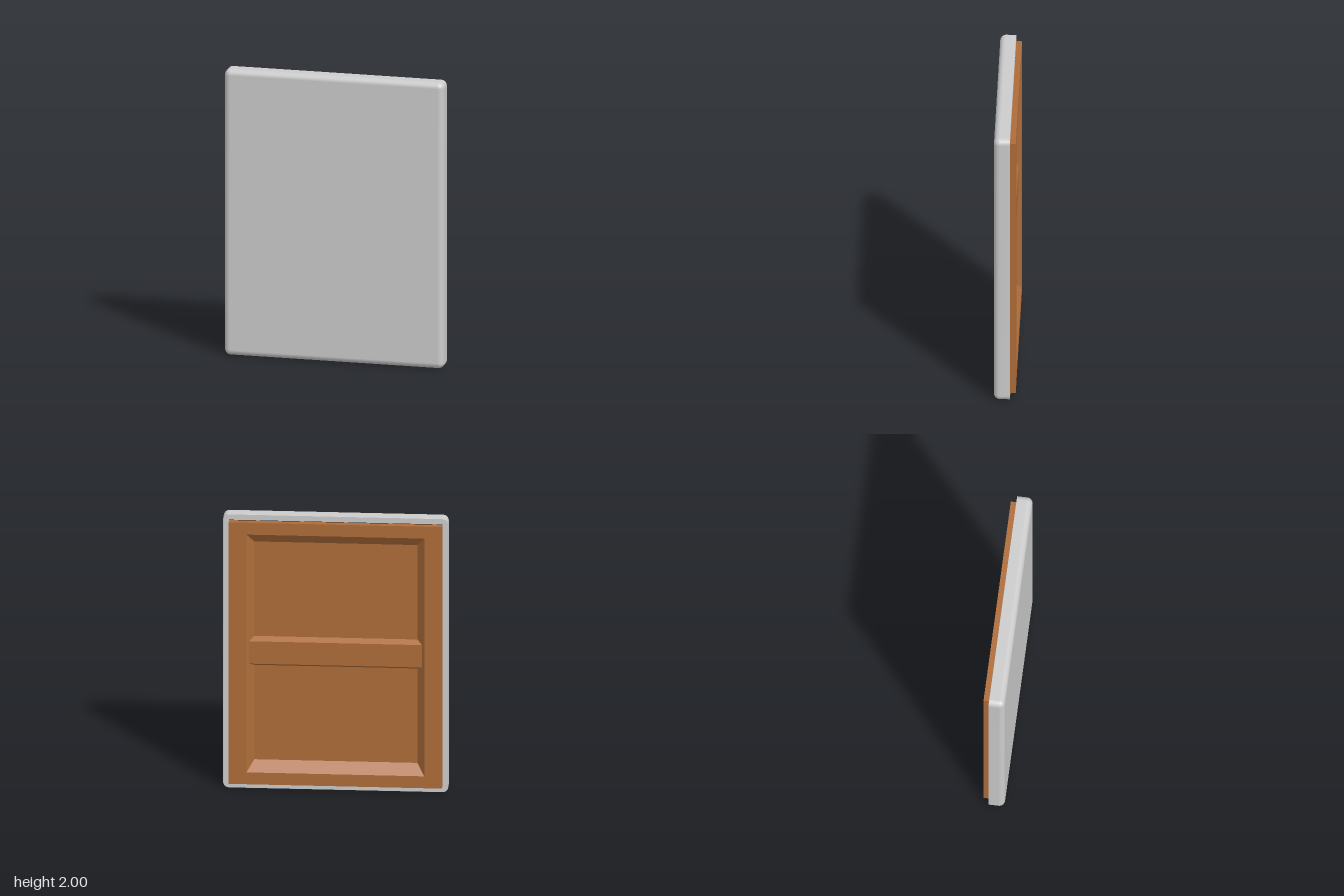
import * as THREE from 'three';
import { mergeVertices } from 'three/addons/utils/BufferGeometryUtils.js';
import { RoundedBoxGeometry } from 'three/addons/geometries/RoundedBoxGeometry.js';

const W = 1.52, H = 2, R = 0.04;
const FRONT = 0.073;            // front of the padded panel
const BACK = -0.035;            // flat rear of the padded panel
const FRAME_BACK = -0.074;      // rear of the wooden frame
const FLOOR = -0.016;           // bottom of the recess

const grey = new THREE.MeshStandardMaterial({ color: 0xcccccc });
const wood = new THREE.MeshStandardMaterial({ color: 0xae6c39 });

// Rounded box whose rear rounding is pressed flat into a rim; open where the frame sits
function cushionGeometry() {
  const p = new RoundedBoxGeometry(W, H, FRONT * 2, 6, R).attributes.position;
  const pos = [];
  for (let i = 0; i < p.count; i += 3) {
    const nearest = Math.max(p.getZ(i), p.getZ(i + 1), p.getZ(i + 2));
    if (nearest < -FRONT + 1e-4) continue;
    for (let k = i; k < i + 3; k++) {
      pos.push(p.getX(k), p.getY(k), Math.max(p.getZ(k), BACK));
    }
  }
  const geo = new THREE.BufferGeometry();
  geo.setAttribute('position', new THREE.Float32BufferAttribute(pos, 3));
  const smooth = mergeVertices(geo);
  smooth.computeVertexNormals();
  return smooth;
}

// Flat-sided loft through rectangles [width, height, z], closed at the last one (facing -z)
function loft(sections) {
  const loops = sections.map(([w, h, z]) =>
    [[-1, -1], [1, -1], [1, 1], [-1, 1]].map(([x, y]) => [x * w / 2, y * h / 2, z]));
  const pos = [];
  const tri = (...corners) => corners.forEach((c) => pos.push(...c));
  for (let s = 0; s < loops.length - 1; s++) {
    const a = loops[s], b = loops[s + 1];
    for (let i = 0; i < 4; i++) {
      const j = (i + 1) % 4;
      tri(a[i], b[j], a[j]);
      tri(a[i], b[i], b[j]);
    }
  }
  const end = loops[loops.length - 1];
  tri(end[0], end[2], end[1]);
  tri(end[0], end[3], end[2]);
  const geo = new THREE.BufferGeometry();
  geo.setAttribute('position', new THREE.Float32BufferAttribute(pos, 3));
  geo.computeVertexNormals();
  return geo;
}

export function createModel() {
  const group = new THREE.Group();
  group.name = 'paddedPanel';
  const add = (name, geo, mat) => {
    const mesh = new THREE.Mesh(geo, mat);
    mesh.name = name;
    mesh.position.y = H / 2;
    group.add(mesh);
  };

  // Soft front panel with the flat margin around its back
  add('cushion', cushionGeometry(), grey);

  // Wooden frame: outer edge, back face, sloping recess walls and recess floor
  add('frame', loft([
    [1.44, 1.914, BACK],
    [1.44, 1.914, FRAME_BACK],
    [1.2, 1.74, FRAME_BACK],
    [1.1, 1.594, FLOOR],
  ]), wood);

  // Cross rail, tapered in height and meeting the sloping side walls
  add('crossRail', loft([
    [1.1, 0.212, FLOOR],
    [1.167, 0.164, -0.055],
  ]), wood);
  return group;
}
